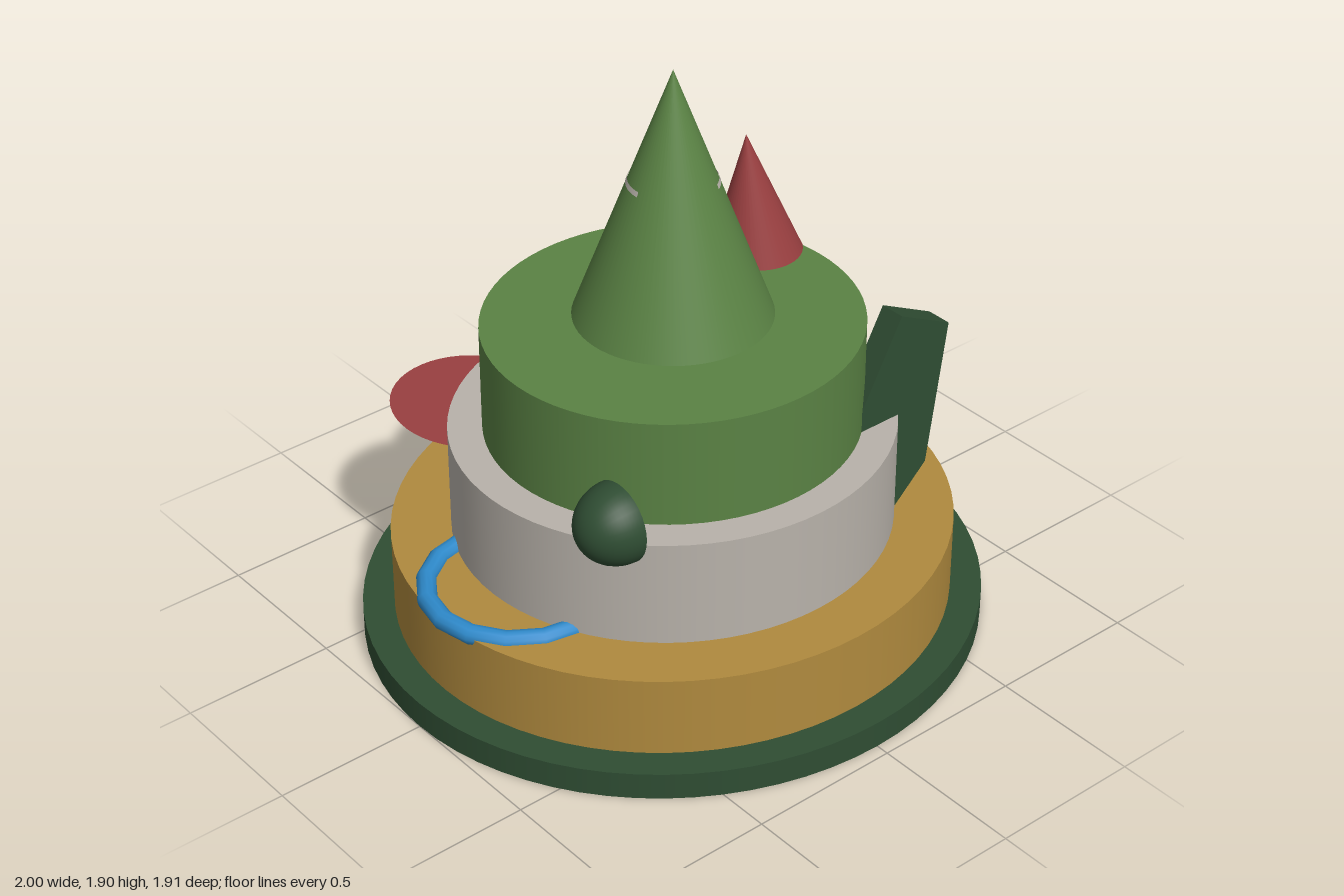
import * as THREE from 'three';

const mat = (name, color, side = THREE.FrontSide) => {
  const m = new THREE.MeshStandardMaterial({ color, side });
  m.name = name;
  return m;
};

export function createModel() {
  const group = new THREE.Group();
  const darkGreen = mat('dark green', 0x2f4d33, THREE.DoubleSide);
  const gold = mat('gold', 0xb08a3e);
  const stone = mat('pale grey', 0xb8b2aa, THREE.DoubleSide);
  const green = mat('leaf green', 0x5a8244);
  const red = mat('red', 0x993f40, THREE.DoubleSide);
  const blue = mat('blue', 0x2e8acb, THREE.DoubleSide);

  const add = (name, geometry, material, x = 0, y = 0, z = 0) => {
    const mesh = new THREE.Mesh(geometry, material);
    mesh.name = name;
    mesh.position.set(x, y, z);
    group.add(mesh);
    return mesh;
  };

  // Stacked oval tiers: name, x radius, z radius, bottom, top
  const tiers = [
    ['basePlate', 1, 0.957, 0, 0.09, darkGreen],
    ['lowerTier', 0.9, 0.858, 0.09, 0.356, gold],
    ['middleTier', 0.705, 0.68, 0.356, 0.709, stone],
    ['upperTier', 0.595, 0.577, 0.709, 1.06, green],
  ];
  for (const [name, rx, rz, y0, y1, material] of tiers) {
    const g = new THREE.CylinderGeometry(1, 1, y1 - y0, 72).scale(rx, 1, rz);
    add(name, g, material, 0, (y0 + y1) / 2);
  }

  // Main cone, hovering just over the upper tier
  const y0 = 1.083, y1 = 1.9, r = 0.308;
  add('mainCone', new THREE.ConeGeometry(r, y1 - y0, 64), green, 0, (y0 + y1) / 2);

  // Two pale slivers on opposite sides of the cone
  const coneRadius = (y) => r * (y1 - y) / (y1 - y0) + 0.002;
  for (const start of [0.55, 0.55 + Math.PI]) {
    const g = new THREE.CylinderGeometry(coneRadius(1.545), coneRadius(1.53), 0.015, 16, 1, true, start, 1.05);
    add('coneSliver', g, stone, 0, 1.5375);
  }

  // Leaning red cone and ball
  const redCone = add('redCone', new THREE.ConeGeometry(0.172, 0.5, 48), red, 0.447, 1.23, -0.155);
  redCone.rotation.z = 0.106;
  add('redBall', new THREE.SphereGeometry(1, 32, 24).scale(0.09, 0.1, 0.09), red, 0.628, 0.957, -0.357);

  // Flat red disc reaching out at the back
  const disc = new THREE.CircleGeometry(1, 48).rotateX(-Math.PI / 2).scale(0.252, 1, 0.272);
  add('redDisc', disc, red, -0.38, 0.655, -0.527);

  // Open half shell facing inward
  const shell = new THREE.SphereGeometry(1, 32, 16, 0, Math.PI * 2, 0, Math.PI / 2)
    .rotateZ(Math.PI / 2).scale(0.145, 0.128, 0.124);
  add('halfShell', shell, darkGreen, -0.58, 0.819, 0.454);

  // Upright faceted slab
  const outline = [[0.53, 1.065], [0.37, 0.77], [0.45, 0.29], [0.53, 0.36], [0.66, 0.48], [0.732, 0.963]];
  const shape = new THREE.Shape(outline.map(([x, y]) => new THREE.Vector2(x, y)));
  add('slab', new THREE.ExtrudeGeometry(shape, { depth: 0.085, bevelEnabled: false }), darkGreen, 0, 0, 0.36);

  // Half-ring side handles, mirrored by rotation
  for (const side of [1, -1]) {
    const ring = new THREE.TorusGeometry(0.285, 0.032, 12, 8, Math.PI)
      .rotateZ(-Math.PI / 2).rotateX(Math.PI / 2);
    const handle = add(side > 0 ? 'leftHandle' : 'rightHandle', ring, blue, side * 0.61, 0.352, 0);
    if (side < 0) handle.rotation.y = Math.PI;
  }

  return group;
}
